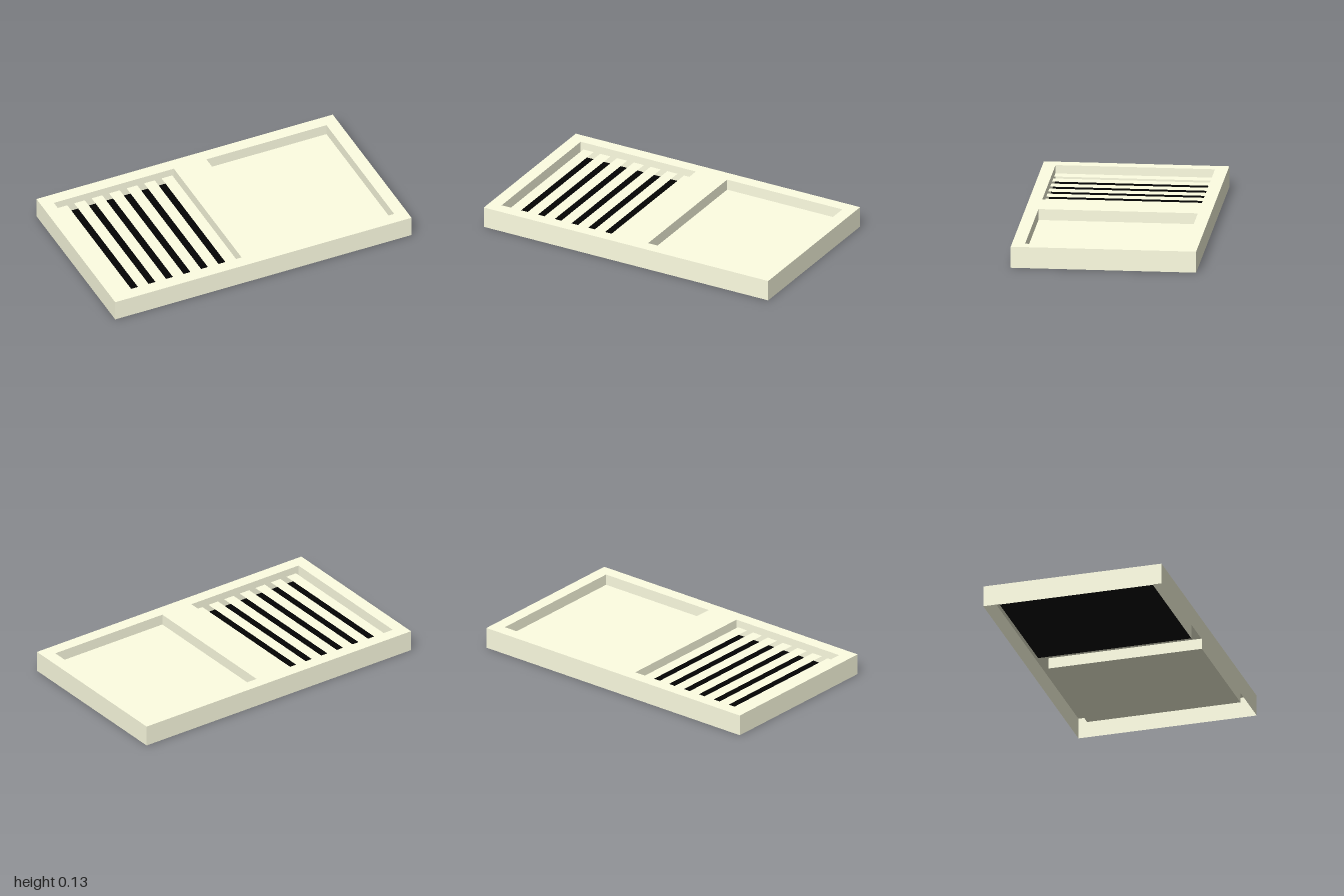
import * as THREE from 'three';

const beige = new THREE.MeshStandardMaterial({ color: 0xffffe3, side: THREE.DoubleSide });
const black = new THREE.MeshStandardMaterial({ color: 0x030303, side: THREE.DoubleSide });

const W = 2, D = 1.14, H = 0.133;        // outer shell
const RW = 0.81, RD = 0.98, RX = 0.515;  // recess size and offset from centre
const TRAY_Y = 0.064, GRILLE_Y = 0.036, SLAT_Y = 0.085;

// Horizontal thin sheet facing up
function sheet(name, w, d, x, y, material) {
  const mesh = new THREE.Mesh(new THREE.PlaneGeometry(w, d).rotateX(-Math.PI / 2), material);
  mesh.name = name;
  mesh.position.set(x, y, 0);
  return mesh;
}

// Four thin upright walls; dir = 1 faces outward, -1 faces inward
function walls(name, w, d, x, y0, y1, dir) {
  const group = new THREE.Group();
  group.name = name;
  for (let i = 0; i < 4; i++) {
    const alongX = i % 2 === 0;
    const wall = new THREE.Mesh(new THREE.PlaneGeometry(alongX ? w : d, y1 - y0), beige);
    const a = i * Math.PI / 2;
    const r = (alongX ? d : w) / 2;
    wall.name = name + 'Side';
    wall.position.set(Math.sin(a) * r, (y0 + y1) / 2, Math.cos(a) * r);
    wall.rotation.y = dir > 0 ? a : a + Math.PI;
    group.add(wall);
  }
  group.position.x = x;
  return group;
}

function rectangle(path, w, d, x) {
  path.moveTo(x - w / 2, -d / 2);
  path.lineTo(x + w / 2, -d / 2);
  path.lineTo(x + w / 2, d / 2);
  path.lineTo(x - w / 2, d / 2);
  path.closePath();
  return path;
}

export function createModel() {
  const model = new THREE.Group();
  model.name = 'ventPanel';

  // Top frame with two rectangular openings
  const outline = rectangle(new THREE.Shape(), W, D, 0);
  for (const side of [-1, 1]) outline.holes.push(rectangle(new THREE.Path(), RW, RD, side * RX));
  const frame = new THREE.Mesh(new THREE.ShapeGeometry(outline).rotateX(-Math.PI / 2), beige);
  frame.name = 'topFrame';
  frame.position.y = H;
  model.add(frame);

  // Outer skirt, open underneath
  model.add(walls('outerWall', W, D, 0, 0, H, 1));

  // Plain recessed tray
  model.add(walls('trayWall', RW, RD, RX, TRAY_Y, H, -1));
  model.add(sheet('trayFloor', RW, RD, RX, TRAY_Y, beige));

  // Grille recess with dark backing
  model.add(walls('grilleWall', RW, RD, -RX, GRILLE_Y, H, -1));
  model.add(sheet('grilleBacking', RW, RD, -RX, GRILLE_Y, black));

  // Seven slats running front to back
  for (let i = -3; i <= 3; i++) {
    model.add(sheet('slat', 0.072, RD, -0.511 + i * 0.118, SLAT_Y, beige));
  }
  return model;
}
